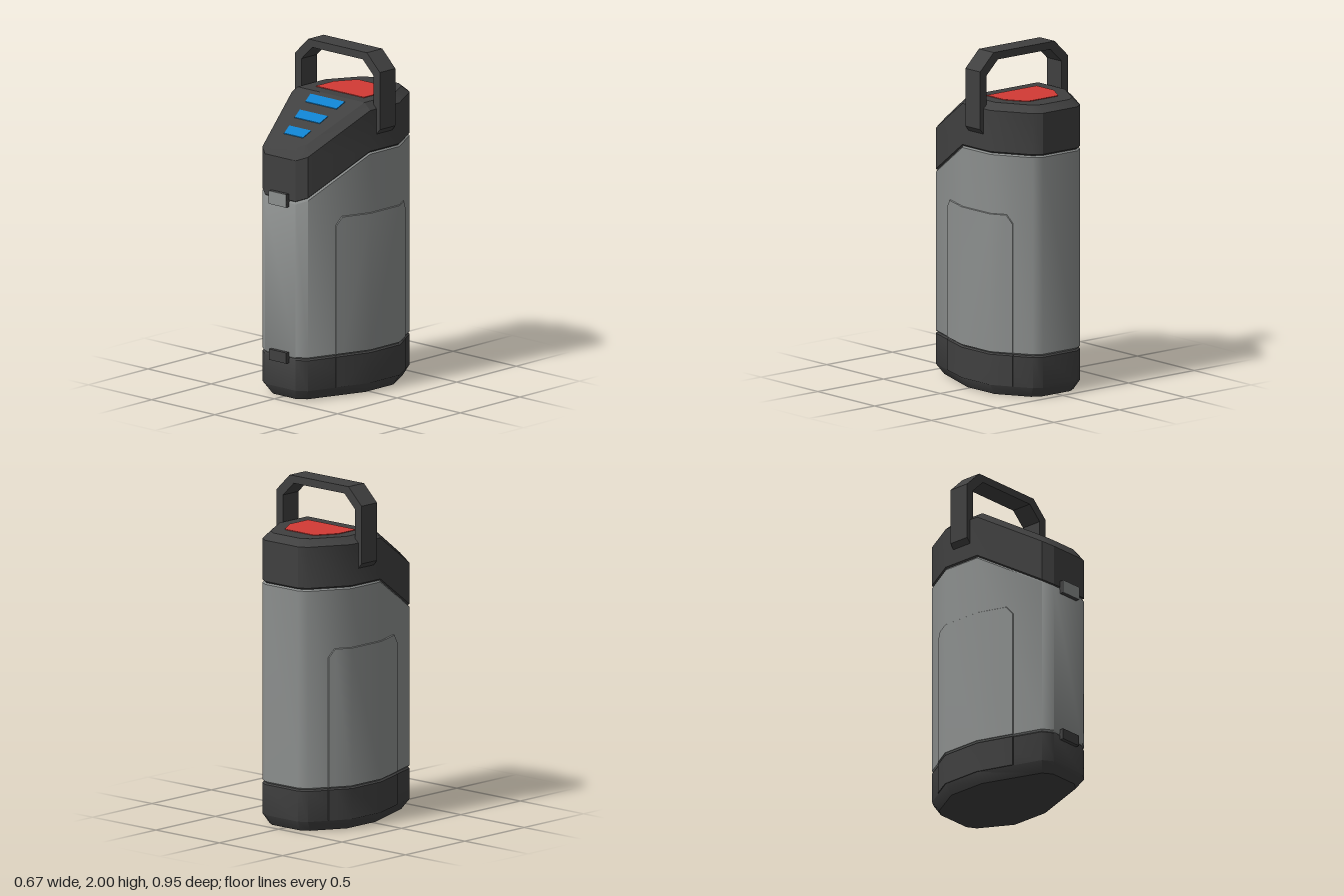
import * as THREE from 'three';
import { toCreasedNormals } from 'three/addons/utils/BufferGeometryUtils.js';

const FOLD_Z = 0.025; // where the top starts to slope down to the front
const SLOPE = 0.595;

// Half footprints from back to front: full size and the inset top edge
const OUTER = [[0.13, -0.475], [0.18, -0.445], [0.31, -0.22], [0.31, FOLD_Z], [0.18, 0.41], [0.12, 0.45]];
const INNER = [[0.105, -0.433], [0.158, -0.40], [0.265, -0.21], [0.265, FOLD_Z], [0.138, 0.372], [0.085, 0.41]];

const slopeDrop = z => SLOPE * Math.max(0, z - FOLD_Z);

// Horizontal ring; inset 0 is the full footprint, 1 the top edge
function ring(inset, y, sloped = false) {
  const half = OUTER.map(([x, z], i) => [
    THREE.MathUtils.lerp(x, INNER[i][0], inset),
    THREE.MathUtils.lerp(z, INNER[i][1], inset)
  ]);
  const all = [...half, ...half.map(([x, z]) => [-x, z]).reverse()];
  return all.map(([x, z]) => new THREE.Vector3(x, y - (sloped ? slopeDrop(z) : 0), z));
}

// Closed solid through matching rings; end caps fan out from vertex capStart
function loft(rings, crease = 0.7, capStart = 0) {
  const tris = [];
  const n = rings[0].length;
  for (let r = 0; r < rings.length - 1; r++) {
    for (let i = 0; i < n; i++) {
      const j = (i + 1) % n;
      const [a, b, c, d] = [rings[r][i], rings[r][j], rings[r + 1][j], rings[r + 1][i]];
      tris.push([a, b, c], [a, c, d]);
    }
  }
  const last = rings[rings.length - 1];
  for (let k = 1; k < n - 1; k++) {
    const [s, i, j] = [capStart, (capStart + k) % n, (capStart + k + 1) % n];
    tris.push([rings[0][s], rings[0][j], rings[0][i]], [last[s], last[i], last[j]]);
  }
  // Turn the faces outward whichever way the rings run
  const volume = tris.reduce((sum, [a, b, c]) => sum + a.dot(b.clone().cross(c)), 0);
  if (volume < 0) tris.forEach(t => t.reverse());
  const geometry = new THREE.BufferGeometry().setFromPoints(tris.flat());
  return toCreasedNormals(geometry, crease);
}

// Thin plate lying on the top of the lid
function topPlate(points) {
  const at = lift => points.map(([x, z]) => new THREE.Vector3(x, 1.72 - slopeDrop(z) + lift, z));
  return loft([at(-0.002), at(0.004)], 0.3);
}

// Thin panel wrapped around one side; path holds [x, z, topY]
function sidePanel(side, path, bottom) {
  const rings = path.map(([x, z, top]) => {
    const out = side * (x + 0.005), inn = side * (x - 0.004);
    return [
      new THREE.Vector3(out, bottom, z), new THREE.Vector3(out, top, z),
      new THREE.Vector3(inn, top + 0.006, z), new THREE.Vector3(inn, bottom, z)
    ];
  });
  return loft(rings, 0.7);
}

export function createModel() {
  const model = new THREE.Group();
  const material = (name, color) => new THREE.MeshStandardMaterial({ name, color });
  const grey = material('body grey', 0x8c8f8e);
  const dark = material('dark grey', 0x404040);
  const red = material('button red', 0xd23a35);
  const blue = material('stripe blue', 0x0f80cc);

  function add(name, geometry, mat) {
    const mesh = new THREE.Mesh(geometry, mat);
    mesh.name = name;
    model.add(mesh);
    return mesh;
  }

  // Main shells, slightly drawn in at the seams
  add('base', loft([ring(0.85, 0), ring(0, 0.06), ring(0, 0.24), ring(0.25, 0.252)]), dark);
  add('body', loft([ring(0.25, 0.246), ring(0, 0.258), ring(0, 1.42, true), ring(0.25, 1.432, true)], 0.7, 3), grey);
  add('lid', loft([ring(0.25, 1.426, true), ring(0, 1.438, true), ring(0, 1.68, true), ring(1, 1.72, true)], 0.53, 3), dark);

  // Side panels on body and base
  const panelPath = [
    [0.238, 0.24, 1.02], [0.252, 0.2, 1.07], [0.31, FOLD_Z, 1.07],
    [0.31, -0.22, 1.07], [0.26, -0.307, 1.07], [0.241, -0.34, 1.02]
  ];
  const basePath = panelPath.map(([x, z]) => [x, z, 0.242]);
  for (const [label, side] of [['left', 1], ['right', -1]]) {
    add(label + 'BodyPanel', sidePanel(side, panelPath, 0.258), grey);
    add(label + 'BasePanel', sidePanel(side, basePath, 0.062), dark);
  }

  // Carrying handle
  const outerHalf = [[0.31, 1.53], [0.335, 1.56], [0.335, 1.9], [0.232, 2]];
  const innerHalf = [[0.2, 1.955], [0.285, 1.873], [0.285, 1.53]];
  const mirror = pts => pts.map(([x, y]) => [-x, y]).reverse();
  const outline = [...outerHalf, ...mirror(outerHalf), ...mirror(innerHalf), ...[...innerHalf]];
  const handleShape = new THREE.Shape(outline.map(p => new THREE.Vector2(...p)));
  const handle = new THREE.ExtrudeGeometry(handleShape, { depth: 0.13, bevelEnabled: false });
  add('handle', handle.translate(0, 0, -0.16), dark);

  // Red button on the flat top
  add('button', topPlate([
    [-0.19, -0.05], [-0.19, -0.2], [-0.125, -0.312], [-0.11, -0.326],
    [0.11, -0.326], [0.125, -0.312], [0.19, -0.2], [0.19, -0.05]
  ]), red);

  // Blue stripes down the slope
  for (let i = 0; i < 3; i++) {
    const z = 0.053 + i * 0.115;
    const x = 0.136 - i * 0.0245;
    add('stripe', topPlate([[-x, z], [x, z], [x - 0.012, z + 0.056], [-x + 0.012, z + 0.056]]), blue);
  }

  // Front latches; the upper one has a light face
  for (const [name, y, h] of [['upperLatch', 1.183, 0.078], ['lowerLatch', 0.248, 0.064]]) {
    add(name, new THREE.BoxGeometry(0.136, h, 0.05), dark).position.set(0, y, 0.449);
  }
  add('upperLatchFace', new THREE.BoxGeometry(0.136, 0.078, 0.004), grey).position.set(0, 1.183, 0.474);

  return model;
}
